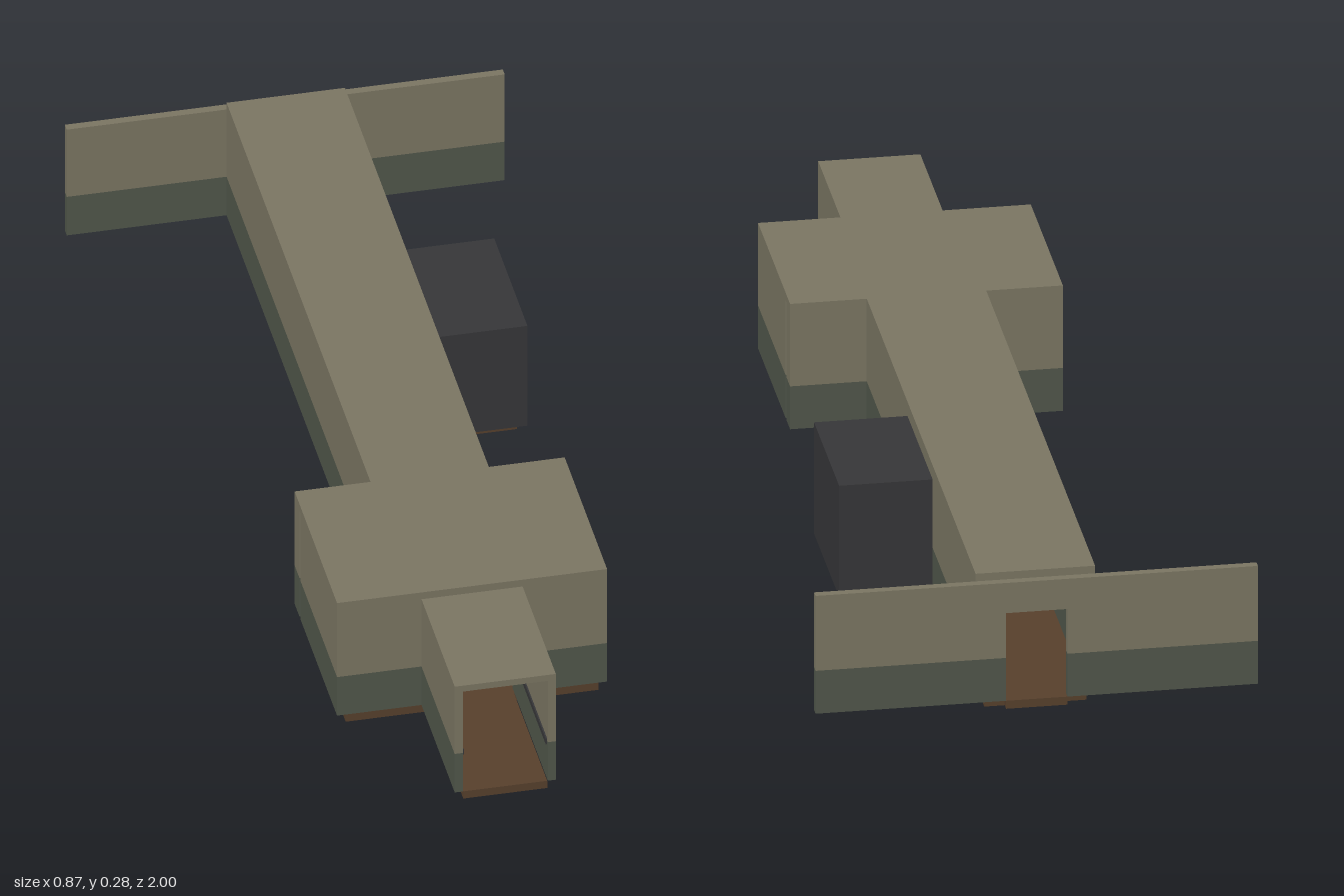
import * as THREE from 'three';

const mat = (name, color) => {
  const m = new THREE.MeshStandardMaterial({ color });
  m.name = name;
  return m;
};

export function createModel() {
  const upper = mat('taupe plaster', 0x7a7562);
  const lower = mat('grey green paint', 0x50564a);
  const brown = mat('brown floor', 0x57402c);
  const dark = mat('charcoal', 0x363638);
  const blue = mat('blue grey door', 0x374656);
  const yellow = mat('warning yellow', 0xb98c20);
  const model = new THREE.Group();

  // Box given by its limits on each axis
  const block = (name, m, x0, x1, y0, y1, z0, z1, parent = model) => {
    const mesh = new THREE.Mesh(new THREE.BoxGeometry(x1 - x0, y1 - y0, z1 - z0), m);
    mesh.name = name;
    mesh.position.set((x0 + x1) / 2, (y0 + y1) / 2, (z0 + z1) / 2);
    parent.add(mesh);
    return mesh;
  };

  const FLOOR = 0.017, BAND = 0.108;
  // Two-tone wall: green below, taupe above
  const wall = (name, x0, x1, z0, z1, top) => {
    const g = new THREE.Group();
    g.name = name;
    block('lowerWall', lower, x0, x1, FLOOR, BAND, z0, z1, g);
    block('upperWall', upper, x0, x1, BAND, top, z0, z1, g);
    model.add(g);
  };
  const wallPair = (name, x0, x1, z0, z1, top) => {
    wall(name + 'Left', x0, x1, z0, z1, top);
    wall(name + 'Right', -x1, -x0, z0, z1, top);
  };

  // Floors
  block('entranceFloor', brown, -0.083, 0.083, 0, FLOOR, 0.7, 1);
  block('hallFloor', brown, -0.25, 0.25, 0, FLOOR, 0.36, 0.7);
  block('thresholdFloor', brown, -0.1, 0.1, 0.011, FLOOR, 0.317, 0.36);
  block('corridorFloor', brown, -0.1, 0.1, 0, FLOOR, -0.983, 0.317);
  block('doorwaySill', brown, -0.06, 0.06, 0, FLOOR, -1, -0.983);
  block('alcoveFloor', brown, 0.1, 0.283, 0, FLOOR, -0.453, -0.187);

  // Entrance tunnel
  wallPair('entranceWall', 0.084, 0.1, 0.7, 1, 0.253);
  block('entranceRoof', upper, -0.1, 0.1, 0.253, 0.267, 0.7, 1);

  // Hall
  wallPair('hallSideWall', 0.25, 0.267, 0.37, 0.7, 0.267);
  wallPair('hallFrontWall', 0.084, 0.25, 0.683, 0.7, 0.267);
  block('hallFrontLintel', upper, -0.084, 0.084, 0.253, 0.267, 0.683, 0.7);
  wallPair('hallBackWall', 0.06, 0.267, 0.317, 0.36, 0.267);
  block('hallBackLintel', upper, -0.06, 0.06, 0.203, 0.267, 0.317, 0.36);
  block('hallRoof', upper, -0.267, 0.267, 0.267, 0.283, 0.317, 0.7);

  // Corridor, with its left wall open at the alcove
  wall('corridorRightWall', -0.117, -0.1, -0.983, 0.317, 0.267);
  wall('corridorLeftWallRear', 0.1, 0.117, -0.983, -0.453, 0.267);
  wall('corridorLeftWallFront', 0.1, 0.117, -0.187, 0.317, 0.267);
  block('alcoveLintel', upper, 0.1, 0.117, 0.236, 0.267, -0.453, -0.187);
  block('corridorRoof', upper, -0.117, 0.117, 0.267, 0.283, -0.983, 0.317);

  // Dark side alcove
  block('alcoveOuterWall', dark, 0.283, 0.3, FLOOR, 0.236, -0.47, -0.17);
  block('alcoveRearWall', dark, 0.117, 0.283, FLOOR, 0.236, -0.47, -0.453);
  block('alcoveFrontWall', dark, 0.117, 0.283, FLOOR, 0.236, -0.187, -0.17);
  block('alcoveRoof', dark, 0.117, 0.3, 0.236, 0.253, -0.47, -0.17);

  // Wide end wall with a doorway
  wallPair('endWall', 0.06, 0.433, -1, -0.983, 0.267);
  block('endLintel', upper, -0.06, 0.06, 0.203, 0.267, -1, -0.983);

  // Trim lines inside the entrance and warning bands near the rear doorway
  for (const s of [-1, 1]) {
    const x = s * 0.0825;
    block('entranceTrim', dark, x - 0.0015, x + 0.0015, 0.1, 0.113, 0.7, 0.995);
    const b = s * 0.0985;
    block('warningBand', yellow, b - 0.0015, b + 0.0015, 0.112, 0.135, -0.95, -0.8);
  }

  // Door with a striped warning band and a small sign
  block('door', blue, -0.06, 0.06, FLOOR, 0.203, 0.33, 0.345);
  block('doorBand', yellow, -0.06, 0.06, 0.097, 0.12, 0.345, 0.348);
  block('doorSign', yellow, -0.017, 0.017, 0.127, 0.16, 0.345, 0.348);
  const slash = new THREE.Shape([[0, 0], [0.002, 0], [0.015, 0.023], [0.013, 0.023]]
    .map(([x, y]) => new THREE.Vector2(x, y)));
  const slashGeometry = new THREE.ShapeGeometry(slash);
  for (let i = 0; i < 13; i++) {
    const stripe = new THREE.Mesh(slashGeometry, dark);
    stripe.name = 'doorBandStripe';
    stripe.position.set(-0.059 + i * 0.0085, 0.097, 0.349);
    model.add(stripe);
  }
  return model;
}
